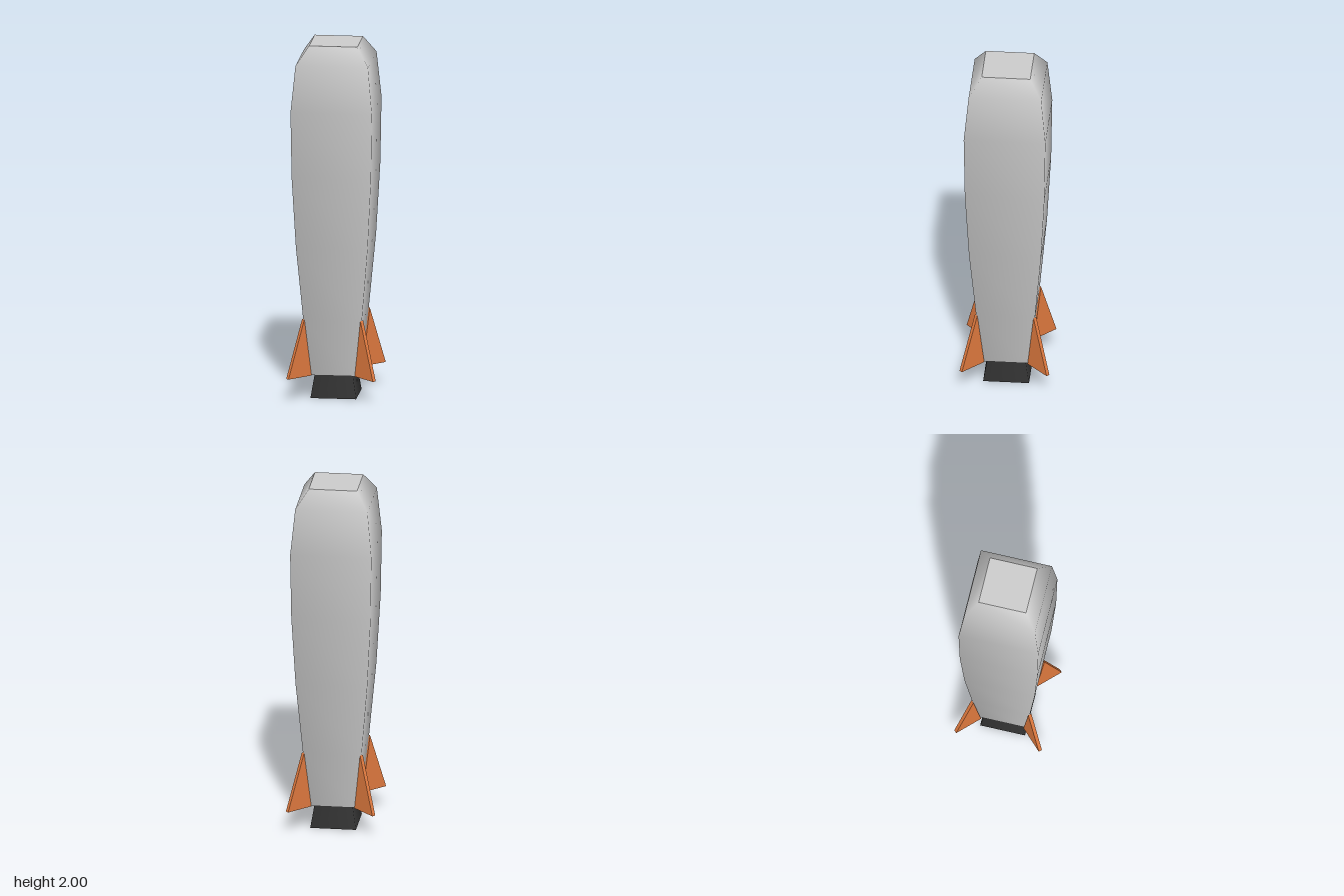
import * as THREE from 'three';

const SIDES = 4;

export function createModel() {
  const model = new THREE.Group();
  const grey = new THREE.MeshStandardMaterial({ color: 0xcccccc });
  const dark = new THREE.MeshStandardMaterial({ color: 0x333333 });
  const orange = new THREE.MeshStandardMaterial({ color: 0xe07a3f });

  const add = (name, geometry, material, parent = model) => {
    const mesh = new THREE.Mesh(geometry, material);
    mesh.name = name;
    parent.add(mesh);
    return mesh;
  };

  // Body: smooth four-sided hull, corners on the x and z axes
  const profile = [
    [0.18, 0.13], [0.23, 0.45], [0.282, 0.87], [0.312, 1.27],
    [0.32, 1.64], [0.285, 1.9], [0.19, 2],
  ].map(([r, y]) => new THREE.Vector2(r, y));
  add('body', new THREE.LatheGeometry(profile, SIDES), grey);

  // Flat ends of the hull
  const top = add('bodyTop', new THREE.CircleGeometry(0.19, SIDES), grey);
  top.rotation.x = -Math.PI / 2;
  top.position.y = 2;
  const bottom = add('bodyBottom', new THREE.CircleGeometry(0.18, SIDES), grey);
  bottom.rotation.x = Math.PI / 2;
  bottom.position.y = 0.13;

  // Nozzle flaring towards the ground
  const nozzle = add('nozzle', new THREE.CylinderGeometry(0.15, 0.18, 0.13, SIDES), dark);
  nozzle.position.y = 0.065;

  // Four triangular fins, one on each corner
  const outline = new THREE.Shape([
    new THREE.Vector2(0.18, 0.13),
    new THREE.Vector2(0.342, 0.13),
    new THREE.Vector2(0.23, 0.455),
  ]);
  const finGeometry = new THREE.ExtrudeGeometry(outline, { depth: 0.02, bevelEnabled: false });
  finGeometry.translate(0, 0, -0.01);
  const fins = new THREE.Group();
  fins.name = 'fins';
  model.add(fins);
  for (let i = 0; i < SIDES; i++) {
    add('fin', finGeometry, orange, fins).rotation.y = (i * Math.PI) / 2;
  }

  return model;
}
